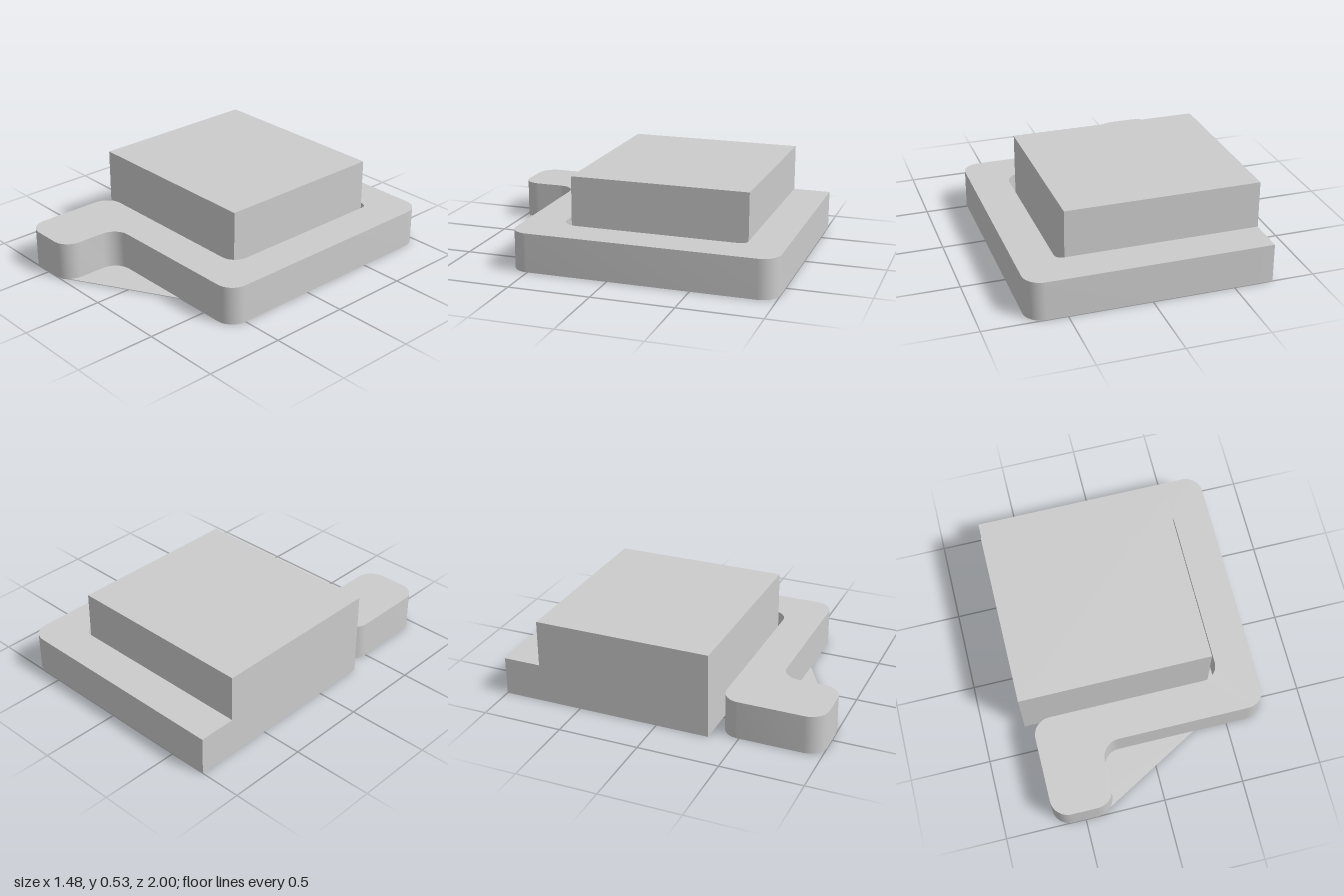
import * as THREE from 'three';
import { toCreasedNormals } from 'three/addons/utils/BufferGeometryUtils.js';

const FLOOR = 0.004;
const material = new THREE.MeshStandardMaterial({ color: 0xcccccc, side: THREE.DoubleSide });

// Plan outline from corners [x, z, radius]; rounded corners are right angles.
function outline(corners, steps = 10) {
  const pts = [];
  corners.forEach(([x, z, r = 0], i) => {
    const p = new THREE.Vector2(x, z);
    if (!r) { pts.push(p); return; }
    const n = corners.length;
    const [ax, az] = corners[(i + n - 1) % n];
    const [bx, bz] = corners[(i + 1) % n];
    const u = new THREE.Vector2(ax, az).sub(p).normalize();
    const v = new THREE.Vector2(bx, bz).sub(p).normalize();
    for (let k = 0; k <= steps; k++) {
      const t = (k / steps) * Math.PI / 2;
      pts.push(p.clone()
        .addScaledVector(u, r * (1 - Math.sin(t)))
        .addScaledVector(v, r * (1 - Math.cos(t))));
    }
  });
  return new THREE.Shape(pts);
}

// Upright slab with the given plan outline between two heights.
function slab(name, corners, bottom, top) {
  const geo = new THREE.ExtrudeGeometry(outline(corners), { depth: top - bottom, bevelEnabled: false });
  geo.rotateX(Math.PI / 2);
  geo.translate(0, top, 0);
  const mesh = new THREE.Mesh(toCreasedNormals(geo, 0.5), material);
  mesh.name = name;
  return mesh;
}

export function createModel() {
  const model = new THREE.Group();
  model.name = 'bracketedBlock';
  const R = 0.11;

  // Hooked rim: back bar, side bar, front arm and its forward foot
  model.add(slab('hookedRim', [
    [-0.74, -1], [0.735, -1, R], [0.735, 0.615, R],
    [-0.31, 0.615, R], [-0.31, 1, R], [-0.69, 1, R], [-0.69, 0.38, R],
    [0.5, 0.38, 0.1], [0.5, -0.765, 0.045], [-0.74, -0.765],
  ], FLOOR, 0.24));

  // Raised block inside the rim
  const block = new THREE.Mesh(new THREE.BoxGeometry(1.19, 0.53 - FLOOR, 1.095), material);
  block.name = 'raisedBlock';
  block.position.set(-0.145, (0.53 + FLOOR) / 2, -0.2175);
  model.add(block);

  // Thin floor sheet with a diagonal web at the foot and a tapered slot
  model.add(slab('floorSheet', [
    [-0.74, -1], [0.735, -1, R], [0.735, 0.615, R],
    [0.285, 0.615], [-0.34, 0.965], [-0.37, 0.988], [-0.42, 1],
    [-0.69, 1, R], [-0.69, 0.38, R],
    [0.4, 0.38], [0.44, 0.37], [-0.46, 0.33], [-0.74, 0.33],
  ], 0, FLOOR));

  return model;
}
